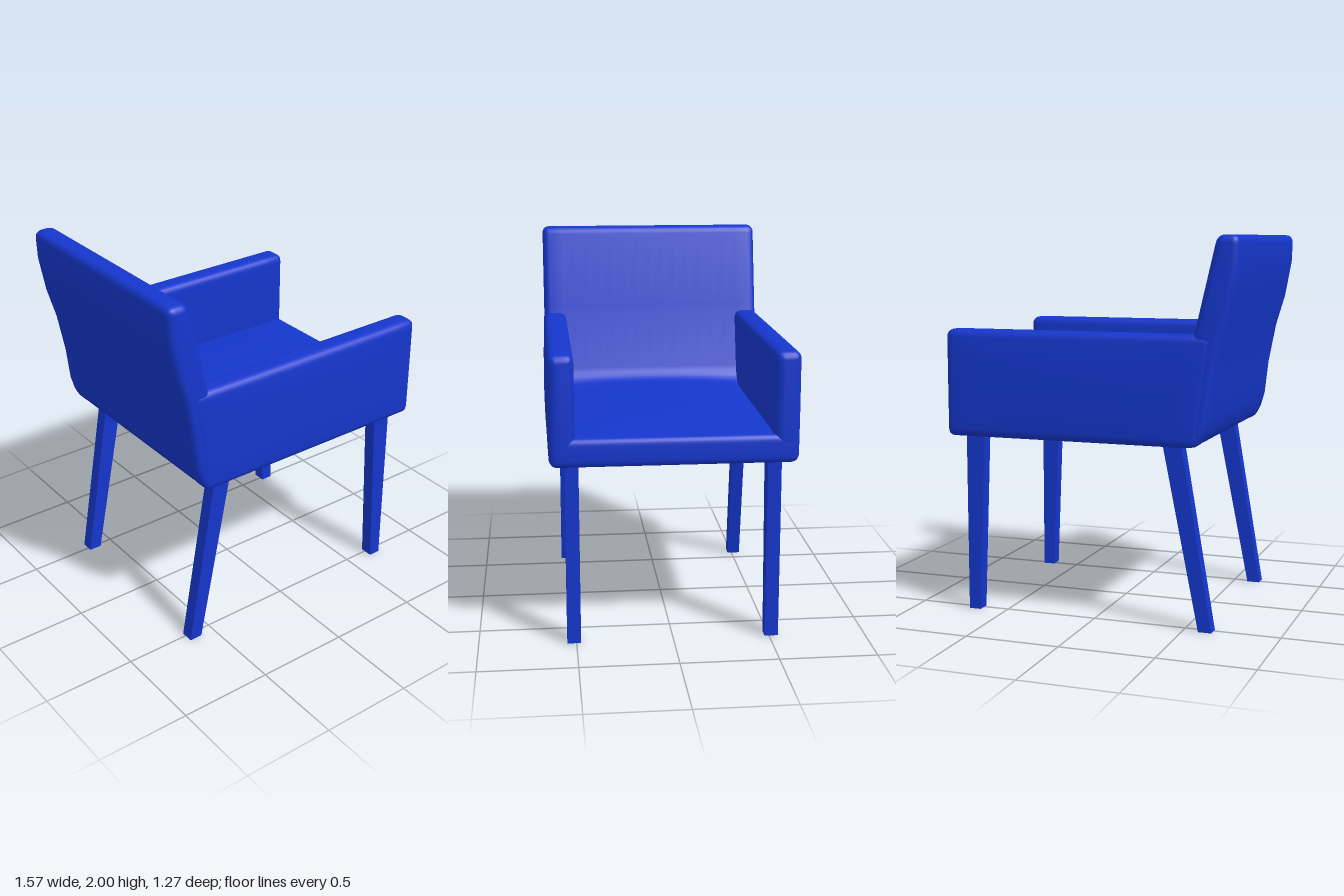
import * as THREE from 'three';
import { toCreasedNormals } from 'three/addons/utils/BufferGeometryUtils.js';

const material = new THREE.MeshStandardMaterial({ color: 0x1536cc });

// Closed outline from [x, y, cornerRadius] points
function roundedShape(points) {
  const shape = new THREE.Shape();
  const n = points.length;
  points.forEach(([x, y, r = 0], i) => {
    const p = new THREE.Vector2(x, y);
    const toward = ([qx, qy]) => new THREE.Vector2(qx, qy).sub(p).setLength(r).add(p);
    const a = toward(points[(i + n - 1) % n]);
    const b = toward(points[(i + 1) % n]);
    if (i === 0) shape.moveTo(a.x, a.y);
    else shape.lineTo(a.x, a.y);
    if (r > 0) shape.quadraticCurveTo(p.x, p.y, b.x, b.y);
  });
  shape.closePath();
  return shape;
}

// Extrusion with soft edges that stays inside its outline, centred along z
function softExtrude(points, length, bevel, steps) {
  const geometry = new THREE.ExtrudeGeometry(roundedShape(points), {
    depth: length - 2 * bevel, steps, curveSegments: 6,
    bevelEnabled: bevel > 0, bevelSize: bevel, bevelThickness: bevel,
    bevelOffset: -bevel, bevelSegments: 4,
  });
  return geometry.translate(0, 0, bevel - length / 2);
}

// Moves every vertex by a rule
function deform(geometry, rule) {
  const pos = geometry.attributes.position;
  const v = new THREE.Vector3();
  for (let i = 0; i < pos.count; i++) {
    rule(v.fromBufferAttribute(pos, i));
    pos.setXYZ(i, v.x, v.y, v.z);
  }
  return geometry;
}

function addMesh(group, name, geometry, crease = 0.8) {
  const mesh = new THREE.Mesh(toCreasedNormals(geometry, crease), material);
  mesh.name = name;
  group.add(mesh);
}

export function createModel() {
  const chair = new THREE.Group();
  chair.name = 'armchair';

  // Seat and backrest: one side profile, run across the width
  const seatTop = [0.7, 0.6, 0.45, 0.3, 0.15, 0, -0.15, -0.28].map((x) => [x, 1.1]);
  const profile = [
    [-0.585, 0.95, 0.06], [0.785, 0.95, 0.04], [0.785, 1.1, 0.04],
    ...seatTop,
    [-0.45, 1.11, 0.1], [-0.565, 1.53, 0.03],
    [-0.675, 2, 0.04], [-0.79, 2, 0.045],
    [-0.785, 1.85], [-0.75, 1.66], [-0.7, 1.49], [-0.66, 1.28],
    [-0.64, 1.1], [-0.62, 1.03],
  ];
  const body = deform(softExtrude(profile, 1.24, 0.035, 16), (v) => {
    // Domed cushion
    if (v.y > 1.06 && v.y < 1.16 && v.x > -0.48 && v.x < 0.74) {
      const across = Math.max(0, 1 - (v.z / 0.5) ** 2);
      const along = Math.min(1, (0.74 - v.x) / 0.2, (v.x + 0.48) / 0.2);
      v.y += 0.04 * across * along;
    }
  });
  addMesh(chair, 'seatAndBackrest', body);

  // Armrests: rounded section run front to back, bulging a little outwards
  for (const side of [1, -1]) {
    const section = [
      [0.495, 0.955, 0.04], [0.624, 0.955, 0.04], [0.624, 1.1],
      [0.624, 1.23], [0.624, 1.37], [0.624, 1.515, 0.045], [0.495, 1.515, 0.045],
    ].map(([z, y, r]) => [-side * z, y, r]);
    const arm = softExtrude(section, 1.385, 0.04, 14).rotateY(Math.PI / 2).translate(0.0925, 0, 0);
    deform(arm, (v) => {
      if (Math.abs(v.z) > 0.57) {
        const along = Math.max(0, 1 - ((v.x - 0.1) / 0.69) ** 2);
        const up = Math.max(0, 1 - ((v.y - 1.235) / 0.28) ** 2);
        v.z += side * 0.011 * along * up;
      }
      // Rear end leans with the backrest
      if (v.x < -0.4) v.x -= (v.y - 1) * 0.14 * Math.min(1, (-0.4 - v.x) / 0.19);
    });
    addMesh(chair, side > 0 ? 'leftArmrest' : 'rightArmrest', arm);
  }

  // Tapered legs: [bottom x range, top x range]
  const legs = {
    FrontLeg: [0.64, 0.705, 0.6, 0.705],
    RearLeg: [-0.65, -0.58, -0.483, -0.384],
  };
  for (const [name, [b0, b1, t0, t1]] of Object.entries(legs)) {
    for (const side of [1, -1]) {
      const leg = softExtrude([[b0, 0], [b1, 0], [t1, 0.97], [t0, 0.97]], 0.07, 0, 1);
      leg.translate(0, 0, side * 0.512);
      addMesh(chair, (side > 0 ? 'left' : 'right') + name, leg, 0.3);
    }
  }
  return chair;
}
